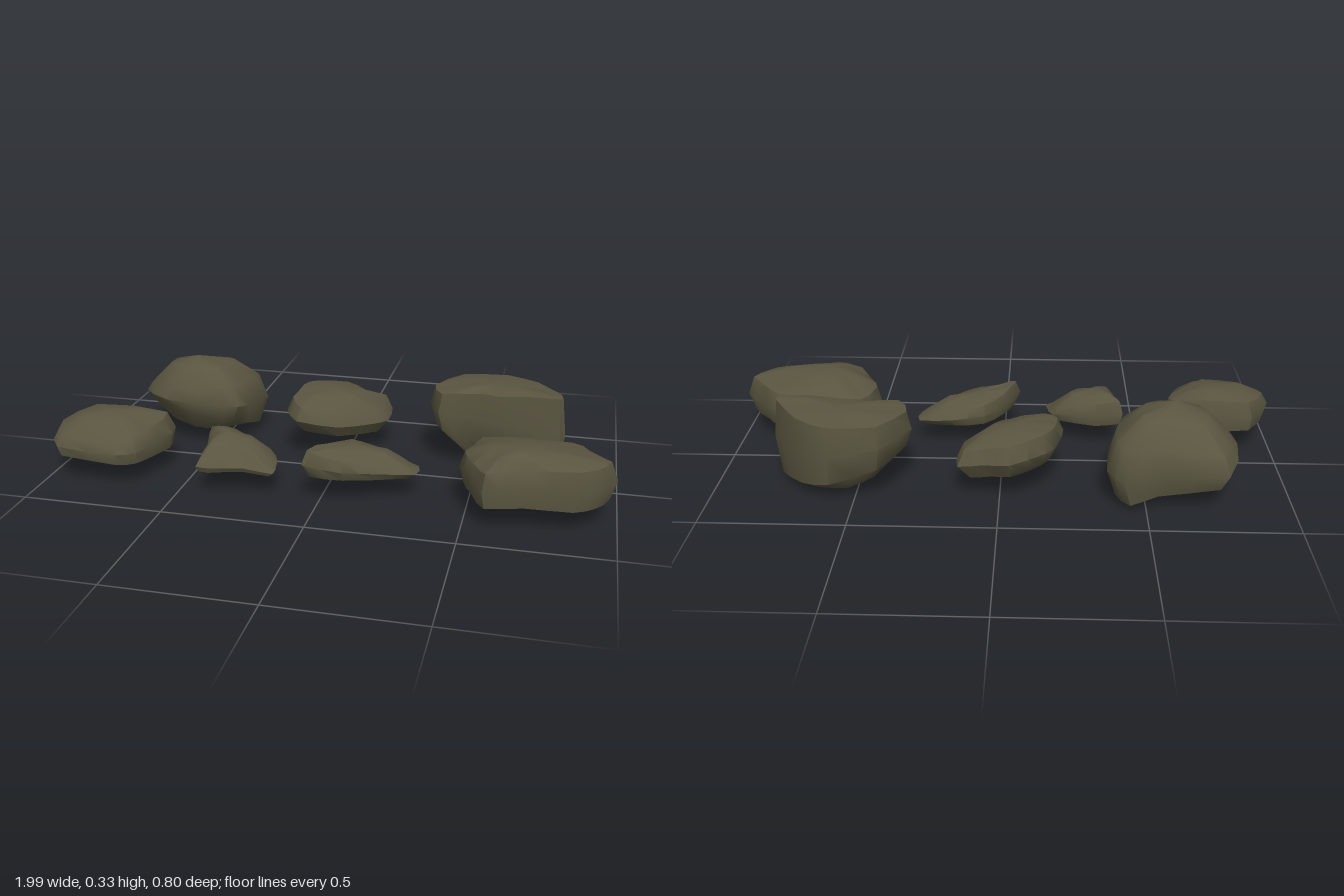
import * as THREE from 'three';
import { toCreasedNormals } from 'three/addons/utils/BufferGeometryUtils.js';

const { lerp } = THREE.MathUtils;

// Small repeatable noise in -1..1
function makeNoise(seed) {
  return () => {
    seed = (seed * 16807) % 2147483647;
    return (seed / 2147483647) * 2 - 1;
  };
}

// A rock is a stack of rings that scale one plan outline about its peak.
// peak: [x, y, z]; base: underside height; low / high: sloping shoulder planes
// [height at peak, slope in x, slope in z]; lowWidth / highWidth: shoulder widths;
// outline: clockwise plan corners [x, z].
function rockGeometry({ peak, base, low, high, lowWidth, highWidth, outline }, seed) {
  const noise = makeNoise(seed);
  const [px, top, pz] = peak;
  const corners = outline.map(([x, z]) => new THREE.Vector3(x - px, 0, z - pz));
  const curve = new THREE.CatmullRomCurve3(corners, true, 'catmullrom', 0.3);
  const n = corners.length * 2;
  // Even parameter steps keep every corner on the rim
  const rim = curve.getPoints(n).slice(0, n);
  const plane = ([h, sx, sz], p) => h + sx * p.x + sz * p.z;

  // Width, height rule and roughness from the underside to the crown
  const rings = [
    [0.55, (lo) => lerp(lo, base, 0.65), 0.005],
    [lowWidth, (lo) => lo, 0.002],
    [1, (lo, hi) => lerp(lo, hi, 0.5), 0],
    [highWidth, (lo, hi) => hi, 0.004],
    [0.5, (lo, hi) => lerp(hi, top, 0.7), 0.005],
  ];
  const pos = [];
  for (const [width, height, rough] of rings) {
    for (const p of rim) {
      const k = width + noise() * rough * 4;
      const y = height(plane(low, p), plane(high, p)) + noise() * rough;
      pos.push(px + p.x * k, y, pz + p.z * k);
    }
  }
  pos.push(px, base, pz, px, top, pz);

  // Side bands, then fans closing the underside and the crown
  const index = [];
  const bottom = rings.length * n;
  const last = bottom - n;
  for (let i = 0; i < n; i++) {
    const j = (i + 1) % n;
    for (let r = 0; r < last; r += n) {
      index.push(r + i, r + n + i, r + n + j, r + i, r + n + j, r + j);
    }
    index.push(bottom, i, j, bottom + 1, last + j, last + i);
  }
  const geometry = new THREE.BufferGeometry();
  geometry.setAttribute('position', new THREE.Float32BufferAttribute(pos, 3));
  geometry.setIndex(index);
  return toCreasedNormals(geometry, 0.75);
}

export function createModel() {
  const group = new THREE.Group();
  group.name = 'rocks';
  const stone = new THREE.MeshStandardMaterial({ color: 0x5a5540 });
  stone.name = 'mossy brown stone';

  const addRock = (name, seed, shape) => {
    const mesh = new THREE.Mesh(rockGeometry(shape, seed), stone);
    mesh.name = name;
    group.add(mesh);
  };

  // Back row
  addRock('largeRidgedRock', 101, {
    peak: [-0.6, 0.33, -0.19], base: 0.03,
    low: [0.1, -0.15, 0.25], high: [0.222, 0.06, 0.06], lowWidth: 0.86, highWidth: 0.88,
    outline: [[-0.77, -0.38], [-0.53, -0.37], [-0.42, -0.4], [-0.365, -0.33], [-0.377, -0.2],
      [-0.414, -0.09], [-0.505, -0.056], [-0.69, -0.067], [-0.82, -0.19]],
  });
  addRock('craggyMiddleRock', 1079, {
    peak: [-0.06, 0.24, -0.19], base: 0.08,
    low: [0.1, -0.12, 0], high: [0.205, -0.17, -0.1], lowWidth: 0.8, highWidth: 0.88,
    outline: [[-0.22, -0.1], [-0.2, -0.22], [-0.16, -0.29], [-0.035, -0.36], [0.05, -0.33],
      [0.142, -0.318], [0.147, -0.2], [0.1, -0.14], [-0.01, -0.045], [-0.163, -0.02]],
  });
  addRock('tallBlockRock', 2055, {
    peak: [0.56, 0.302, -0.21], base: 0,
    low: [0.078, -0.28, 0], high: [0.287, 0.03, 0], lowWidth: 0.92, highWidth: 0.94,
    outline: [[0.307, -0.2], [0.404, -0.345], [0.58, -0.366], [0.7, -0.29], [0.8, -0.15],
      [0.79, -0.1], [0.565, -0.105], [0.447, -0.12], [0.35, -0.1]],
  });

  // Front row
  addRock('squareFlatRock', 3032, {
    peak: [-0.79, 0.232, 0.2], base: 0.075,
    low: [0.088, -0.05, 0], high: [0.188, 0, -0.15], lowWidth: 0.94, highWidth: 0.88,
    outline: [[-1, 0.23], [-0.917, 0.072], [-0.596, 0.088], [-0.61, 0.2], [-0.655, 0.32],
      [-0.72, 0.355], [-0.944, 0.345]],
  });
  addRock('smallWedgeRock', 4009, {
    peak: [-0.35, 0.2, 0.22], base: 0.08,
    low: [0.085, -0.04, 0], high: [0.145, -0.15, -0.2], lowWidth: 0.92, highWidth: 0.88,
    outline: [[-0.446, 0.126], [-0.345, 0.115], [-0.185, 0.18], [-0.165, 0.25], [-0.163, 0.307],
      [-0.265, 0.305], [-0.345, 0.334], [-0.425, 0.35], [-0.425, 0.24]],
  });
  addRock('slenderSlabRock', 4986, {
    peak: [0.1, 0.185, 0.2], base: 0.075,
    low: [0.085, -0.05, 0], high: [0.155, -0.2, 0], lowWidth: 0.86, highWidth: 0.88,
    outline: [[-0.056, 0.297], [-0.013, 0.2], [0.07, 0.11], [0.2, 0.1], [0.32, 0.131],
      [0.318, 0.21], [0.2, 0.265], [0.083, 0.318], [-0.045, 0.324]],
  });
  addRock('broadSlabRock', 5963, {
    peak: [0.68, 0.257, 0.27], base: 0.06,
    low: [0.08, 0, -0.02], high: [0.205, 0.05, 0], lowWidth: 0.93, highWidth: 0.92,
    outline: [[0.468, 0.2], [0.52, 0.061], [0.6, 0.035], [0.848, 0.072], [0.912, 0.136],
      [0.99, 0.233], [0.938, 0.318], [0.87, 0.356], [0.698, 0.366], [0.564, 0.398], [0.51, 0.297]],
  });
  return group;
}
